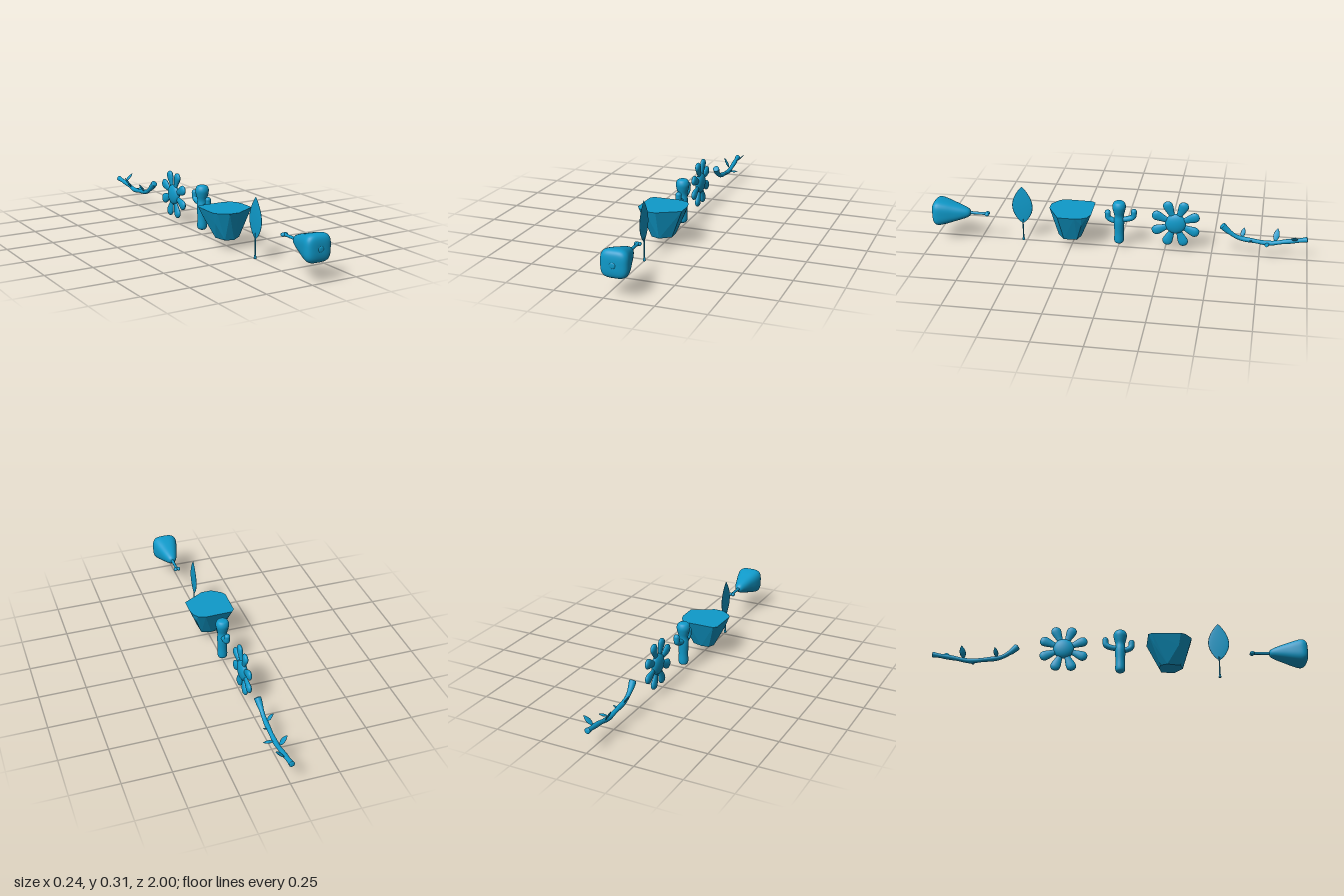
import * as THREE from 'three';
import { mergeVertices } from 'three/addons/utils/BufferGeometryUtils.js';
import { ConvexGeometry } from 'three/addons/geometries/ConvexGeometry.js';

const COLOR = 0x0f9aca;
const smooth = new THREE.MeshStandardMaterial({ color: COLOR });
const faceted = new THREE.MeshStandardMaterial({ color: COLOR, flatShading: true });
const V = (x, y, z) => new THREE.Vector3(x, y, z);

function add(parent, name, geometry, material = smooth) {
  const mesh = new THREE.Mesh(geometry, material);
  mesh.name = name;
  parent.add(mesh);
  return mesh;
}

function group(parent, name, x, y, z) {
  const g = new THREE.Group();
  g.name = name;
  g.position.set(x, y, z);
  parent.add(g);
  return g;
}

// Smooth lathe through a few [radius, height] points
function turned(points, sides = 32, steps = 30) {
  const curve = new THREE.SplineCurve(points.map(([r, h]) => new THREE.Vector2(r, h)));
  const profile = curve.getPoints(steps).map(p => p.setX(Math.max(p.x, 0)));
  return new THREE.LatheGeometry(profile, sides);
}

// Round limb along a curve with a radius rule, closed by rounded ends
function limb(points, radiusAt, steps = 32, sides = 16) {
  const curve = new THREE.CatmullRomCurve3(points);
  const geo = new THREE.TubeGeometry(curve, steps, 1, sides);
  const pos = geo.attributes.position, p = V(0, 0, 0);
  for (let i = 0; i <= steps; i++) {
    const c = curve.getPointAt(i / steps);
    for (let j = 0; j <= sides; j++) {
      const k = i * (sides + 1) + j;
      p.fromBufferAttribute(pos, k).sub(c).multiplyScalar(radiusAt(i / steps)).add(c);
      pos.setXYZ(k, p.x, p.y, p.z);
    }
  }
  return geo;
}

// Pointed lens-shaped blade growing along +y, thin in x
function blade(length, halfWidth, thickness) {
  const pts = [];
  for (let i = 0; i <= 20; i++) {
    const t = i / 20;
    pts.push(new THREE.Vector2(halfWidth * Math.max(0, Math.sin(Math.PI * t ** 0.9)) ** 0.85, t * length));
  }
  return new THREE.LatheGeometry(pts, 20).scale(thickness / halfWidth, 1, 1);
}

function ball(parent, name, r, x, y, z, sx = 1, sy = 1, sz = 1) {
  const m = add(parent, name, new THREE.SphereGeometry(r, 24, 16));
  m.position.set(x, y, z);
  m.scale.set(sx, sy, sz);
}

function drumstick(root) {
  const g = group(root, 'drumstick', 0.046, 0.161, 1);
  // Meat: squarish at the thick end, round at the thin end
  let meat = turned([[0, 0.003], [0.03, 0.003], [0.053, 0.008], [0.066, 0.02], [0.07, 0.04], [0.063, 0.075],
    [0.051, 0.115], [0.037, 0.16], [0.024, 0.192], [0.012, 0.204], [0, 0.206]], 48, 48);
  const pos = meat.attributes.position;
  for (let i = 0; i < pos.count; i++) {
    const x = pos.getX(i), h = pos.getY(i), z = pos.getZ(i), r = Math.hypot(x, z);
    if (r < 1e-6) continue;
    const n = 2 + 1.7 * Math.max(0, 1 - h / 0.2);
    const k = (Math.abs(x / r) ** n + Math.abs(z / r) ** n) ** (-1 / n);
    pos.setXYZ(i, x * k, h, z * k);
  }
  meat.deleteAttribute('uv');
  meat.deleteAttribute('normal');
  meat = mergeVertices(meat, 1e-5);
  meat.computeVertexNormals();
  add(g, 'meat', meat.rotateX(-Math.PI / 2));
  // Bone tip in the thick end, shaft and forked knuckle at the thin end
  add(g, 'boneTip', turned([[0, 0], [0.008, 0], [0.014, 0.002], [0.017, 0.006]], 24, 8).rotateX(-Math.PI / 2));
  add(g, 'boneShaft', turned([[0.009, 0.19], [0.0075, 0.24], [0.0075, 0.275], [0.011, 0.298]], 20).rotateX(-Math.PI / 2));
  for (const s of [-1, 1]) ball(g, 'boneKnuckle', 0.0105, s * 0.0085, 0, -0.297, 1, 0.95, 1.2);
}

function leaf(root) {
  const g = group(root, 'leaf', 0.001, 0, 0.52);
  add(g, 'leafBlade', blade(0.215, 0.056, 0.004)).position.y = 0.098;
  add(g, 'leafStem', turned([[0, 0], [0.007, 0], [0.0045, 0.018], [0.0035, 0.04], [0.003, 0.13], [0, 0.2]], 12));
}

function rock(root) {
  const top = [[-0.116, 0.16], [-0.1, 0.14], [0.05, 0.137], [0.09, 0.153], [0.107, 0.18], [0.116, 0.215],
    [0.116, 0.305], [0, 0.372], [-0.055, 0.372], [-0.105, 0.335], [-0.119, 0.31]].map(([x, z]) => V(x, 0.2, z));
  const base = [[-0.06, 0.24], [-0.045, 0.31], [0, 0.325], [0.055, 0.285], [0.052, 0.215], [0, 0.2],
    [-0.045, 0.205]].map(([x, z]) => V(x, 0.047, z));
  const waist = [V(-0.097, 0.14, 0.3), V(-0.09, 0.14, 0.175), V(0.092, 0.155, 0.182)];
  add(root, 'rock', new ConvexGeometry([...top, ...base, ...waist]), faceted);
}

function cactus(root) {
  const g = group(root, 'cactus', 0.004, 0, -0.005);
  add(g, 'cactusTrunk', turned([[0, 0.024], [0.017, 0.027], [0.026, 0.042], [0.025, 0.09], [0.028, 0.15], [0.025, 0.185],
    [0.032, 0.215], [0.036, 0.24], [0.028, 0.261], [0.012, 0.267], [0, 0.268]], 28, 40));
  // Arms: [side, reach, elbow height, tip height]
  for (const [s, reach, low, high] of [[1, 0.061, 0.163, 0.198], [-1, 0.079, 0.175, 0.212]]) {
    const arm = group(g, 'cactusArm', 0, 0, 0);
    const path = [V(0, low - 0.012, 0), V(0, low - 0.006, s * reach * 0.6), V(0, low + 0.008, s * reach * 0.95), V(0, high, s * reach)];
    add(arm, 'cactusArmLimb', limb(path, t => 0.014 + 0.002 * t));
    ball(arm, 'cactusArmTip', 0.016, 0, high, s * reach);
  }
}

function flower(root) {
  const g = group(root, 'flower', -0.003, 0.156, -0.305);
  ball(g, 'flowerCentre', 0.056, 0, 0, 0, 0.4, 1, 1);
  const petal = turned([[0, 0.035], [0.012, 0.04], [0.018, 0.065], [0.026, 0.1], [0.025, 0.118], [0.014, 0.131], [0, 0.134]], 24)
    .scale(0.5, 1, 1);
  for (let i = 0; i < 8; i++) add(g, 'petal', petal).rotation.x = (i + 0.5) * Math.PI / 4;
}

function twig(root) {
  const g = group(root, 'twig', 0, 0, 0);
  const path = [V(0.004, 0.167, -0.552), V(0, 0.135, -0.585), V(-0.001, 0.104, -0.635), V(0, 0.09, -0.72),
    V(0, 0.083, -0.8), V(0, 0.098, -0.88), V(-0.003, 0.107, -0.94), V(-0.006, 0.115, -0.992)];
  const radius = t => 0.012 + 0.006 * Math.max(0, 1 - t * 8) + 0.003 * Math.max(0, t * 12 - 11) + 0.001 * Math.sin(t * 25);
  add(g, 'branch', limb(path, radius, 48));
  // Slanted cut ends
  for (const [end, next, r] of [[path[0], path[1], 0.018], [path[7], path[6], 0.0148]]) {
    const cap = add(g, 'branchEnd', new THREE.SphereGeometry(r, 16, 10));
    cap.position.copy(end);
    cap.scale.z = 0.3;
    cap.lookAt(end.clone().multiplyScalar(2).sub(next));
  }
  // Leaves: root, tip, half width
  const leaves = [
    [V(-0.006, 0.1, -0.655), V(-0.038, 0.147, -0.665), 0.012],
    [V(0.005, 0.092, -0.705), V(0.03, 0.1, -0.7), 0.006],
    [V(0.008, 0.088, -0.79), V(0.06, 0.088, -0.785), 0.012],
    [V(-0.006, 0.092, -0.828), V(-0.042, 0.152, -0.84), 0.016],
    [V(0.005, 0.108, -0.925), V(0.053, 0.152, -0.93), 0.016],
  ];
  for (const [a, b, w] of leaves) {
    const dir = b.clone().sub(a), m = add(g, 'twigLeaf', blade(dir.length(), w, 0.004));
    m.position.copy(a);
    m.quaternion.setFromUnitVectors(V(0, 1, 0), dir.normalize());
  }
}

export function createModel() {
  const root = new THREE.Group();
  root.name = 'natureSet';
  for (const build of [drumstick, leaf, rock, cactus, flower, twig]) build(root);
  return root;
}
